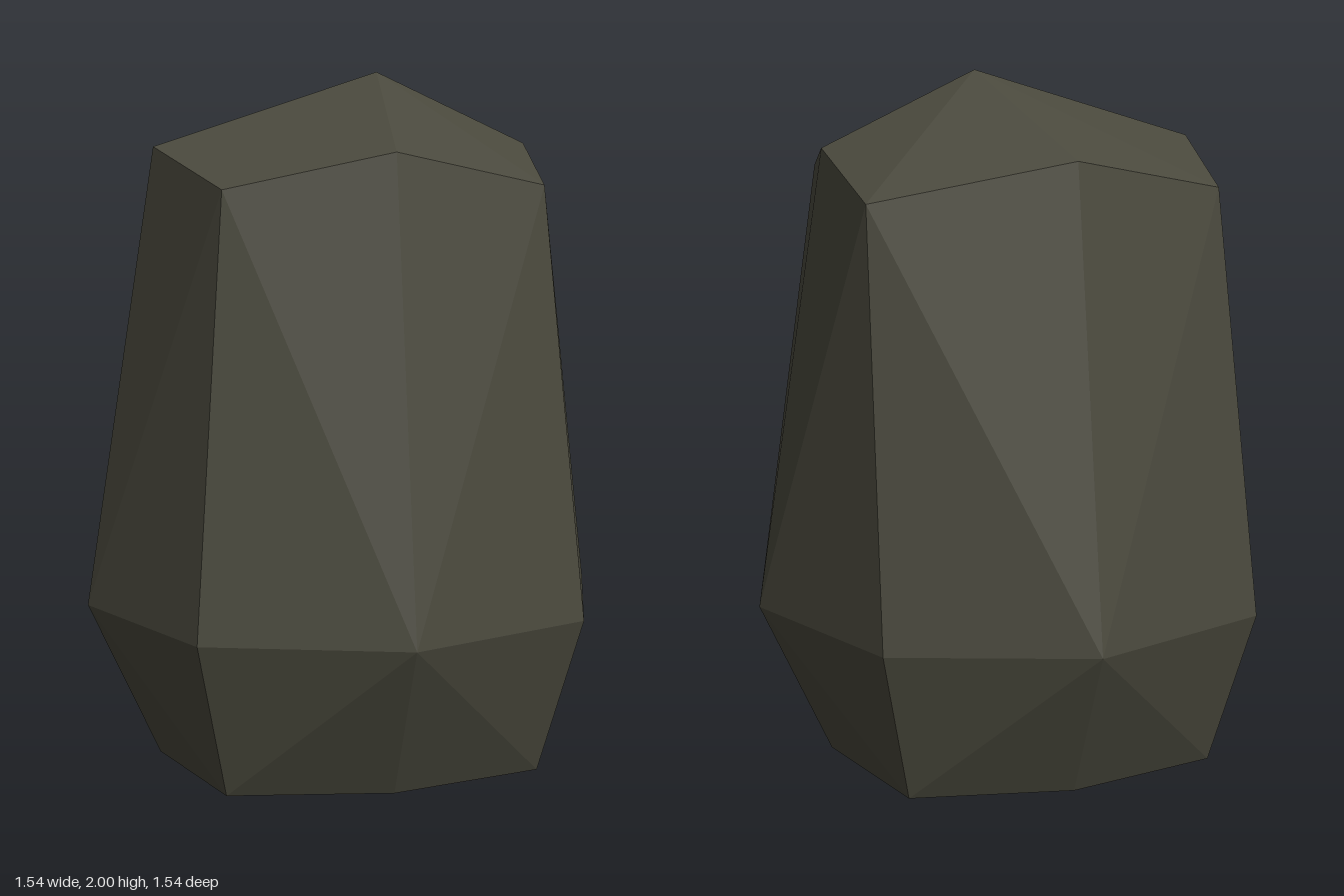
import * as THREE from 'three';
import { ConvexGeometry } from 'three/addons/geometries/ConvexGeometry.js';

// Eight-point ring: four side midpoints and four corners, each with its own height
function ring(side, sideY, corner, cornerY) {
  const points = [];
  for (let i = 0; i < 4; i++) {
    const a = i * Math.PI / 2;
    const c = Math.round(Math.cos(a)), s = Math.round(Math.sin(a));
    points.push(new THREE.Vector3(side * c, sideY, side * s));
    points.push(new THREE.Vector3(corner * (c - s), cornerY, corner * (s + c)));
  }
  return points;
}

export function createModel() {
  const group = new THREE.Group();
  group.name = 'boulder';

  const stone = new THREE.MeshStandardMaterial({ color: 0x4a493d });
  stone.name = 'dark olive stone';

  const foot = ring(0.56, 0, 0.46, 0);
  const belly = ring(0.77, 0.46, 0.56, 0.46);
  const shoulder = ring(0.56, 1.79, 0.46, 1.69);

  // One shoulder corner bulges outwards
  shoulder.find(p => p.x > 0.4 && p.z < -0.4).set(0.57, 1.69, -0.485);

  // Off-centre peak
  const peak = new THREE.Vector3(0.11, 2, -0.02);

  const rock = new THREE.Mesh(new ConvexGeometry([...foot, ...belly, ...shoulder, peak]), stone);
  rock.name = 'rock';
  group.add(rock);
  return group;
}
